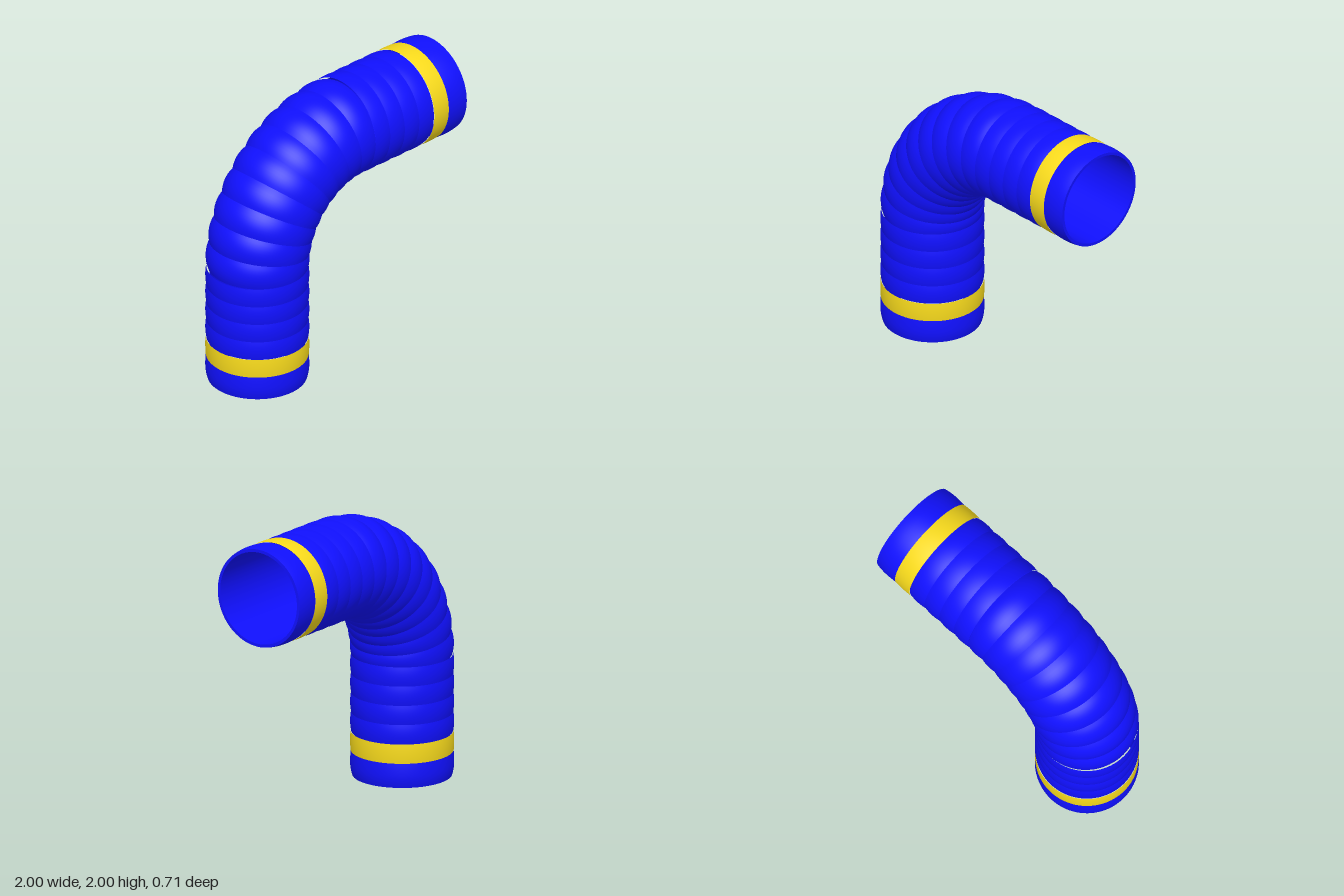
import * as THREE from 'three';

const R = 0.355;          // hose radius at rib crests
const BORE = 0.325;       // inside radius
const X0 = -0.645;        // axis of the upright leg
const CX = 0.14, CY = 0.86, BEND = 0.785; // bend centre and radius
const LEG = 0.86, ARC = BEND * Math.PI / 2, TOTAL = 2 * LEG + ARC;
const SIDES = 96;

// Hose axis at distance s: position, outward direction of the bend, and bend flag
function axisAt(s) {
  if (s <= LEG) return { x: X0, y: s, nx: -1, ny: 0 };
  if (s >= LEG + ARC) return { x: CX + s - LEG - ARC, y: CY + BEND, nx: 0, ny: 1 };
  const a = (s - LEG) / BEND;
  const nx = -Math.cos(a), ny = Math.sin(a);
  return { x: CX + nx * BEND, y: CY + ny * BEND, nx, ny };
}

// Ring-by-ring surface along the axis; radius(t, phi) shapes each ring
function sweep(s0, s1, steps, radius, inward = false) {
  const pos = [], index = [];
  for (let i = 0; i <= steps; i++) {
    const t = i / steps, p = axisAt(s0 + (s1 - s0) * t);
    for (let j = 0; j < SIDES; j++) {
      const phi = j / SIDES * Math.PI * 2, r = radius(t, phi), c = r * Math.cos(phi);
      pos.push(p.x + p.nx * c, p.y + p.ny * c, r * Math.sin(phi));
      if (i === steps) continue;
      const a = i * SIDES + j, b = i * SIDES + (j + 1) % SIDES;
      const d = a + SIDES, e = b + SIDES;
      if (inward) index.push(a, d, b, b, d, e);
      else index.push(a, b, d, b, e, d);
    }
  }
  const g = new THREE.BufferGeometry();
  g.setAttribute('position', new THREE.Float32BufferAttribute(pos, 3));
  g.setIndex(index);
  g.computeVertexNormals();
  return g;
}

export function createModel() {
  const group = new THREE.Group();
  const blue = new THREE.MeshStandardMaterial({ color: 0x1010ff });
  const yellow = new THREE.MeshStandardMaterial({ color: 0xf7da1c });
  const add = (name, geometry, material = blue) => {
    const mesh = new THREE.Mesh(geometry, material);
    mesh.name = name;
    group.add(mesh);
  };

  // Barrel profile: falls by d0 at its start and d1 at its end
  const barrel = (d0, d1) => t => R - (t < 0.5 ? d0 : d1) * (2 * t - 1) ** 2;

  // End cuffs and coloured bands
  const CUFF = 0.175, BAND = 0.312;
  add('lowerCuff', sweep(0, CUFF, 10, barrel(0.014, 0.005)));
  add('upperCuff', sweep(TOTAL - CUFF, TOTAL, 10, barrel(0.005, 0.009)));
  add('lowerBand', sweep(CUFF, BAND, 8, barrel(0.003, 0.003)), yellow);
  add('upperBand', sweep(TOTAL - BAND, TOTAL - CUFF, 8, barrel(0.003, 0.003)), yellow);

  // Ribs on both straight legs
  const pitch = (LEG - BAND) / 4;
  for (let i = 0; i < 4; i++) {
    for (const start of [BAND, LEG + ARC]) {
      const s = start + i * pitch;
      add('straightRib', sweep(s, s + pitch, 8, barrel(0.007, 0.007)));
    }
  }

  // Ribs round the bend, with deeper grooves on the outside
  const bendRib = (t, phi) =>
    R - (0.007 + 0.012 * Math.max(0, Math.cos(phi))) * (2 * t - 1) ** 2;
  for (let i = 0; i < 9; i++) {
    add('bendRib', sweep(LEG + ARC * i / 9, LEG + ARC * (i + 1) / 9, 8, bendRib));
  }

  // Bore and the flat rims closing the wall at each end
  add('bore', sweep(0, TOTAL, 60, () => BORE, true));
  add('lowerRim', sweep(0, 0, 1, t => BORE + (0.341 - BORE) * t));
  add('upperRim', sweep(TOTAL, TOTAL, 1, t => 0.346 + (BORE - 0.346) * t));

  return group;
}
